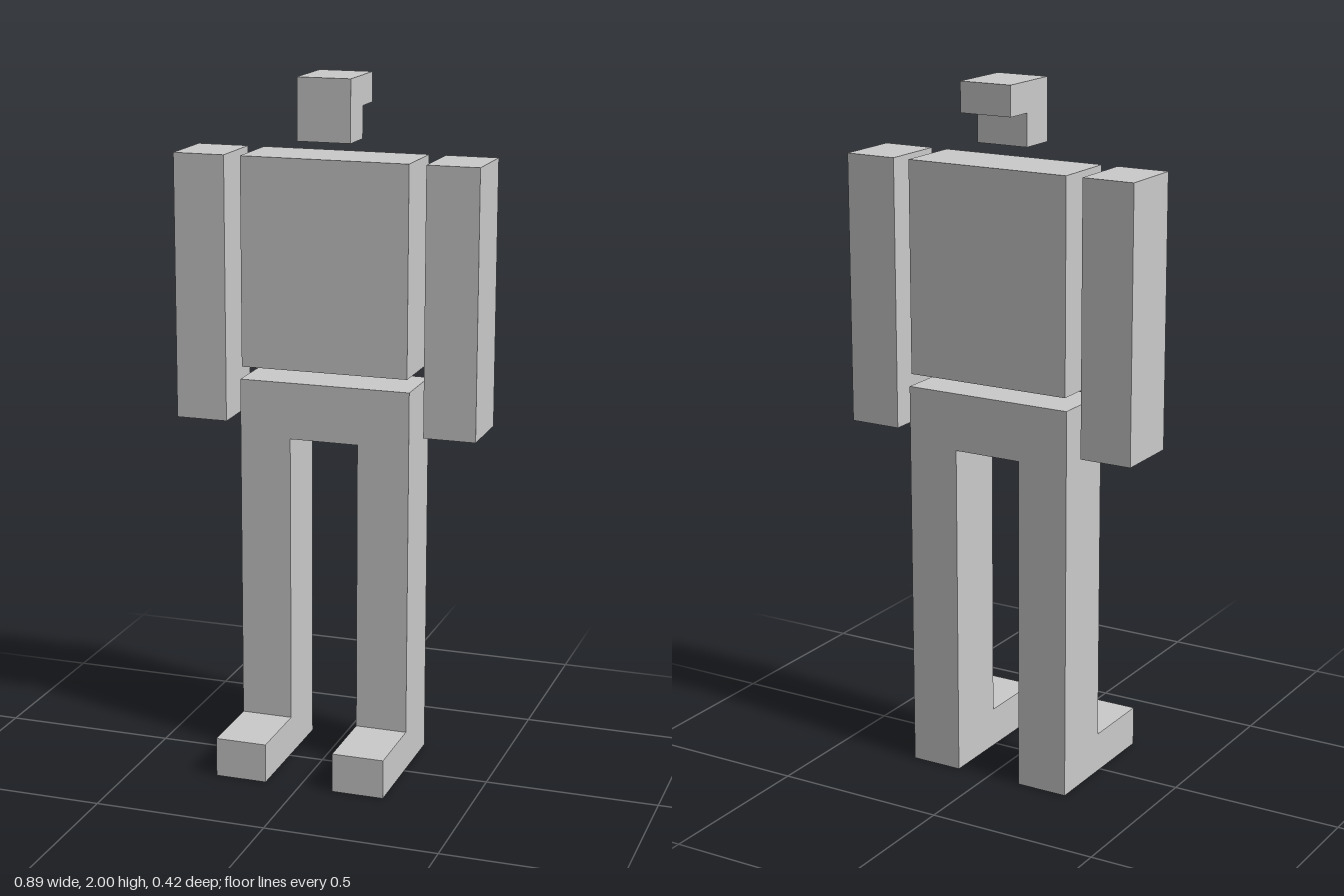
import * as THREE from 'three';

const BACK = -0.208, FRONT = -0.014, TOE = 0.207;

export function createModel() {
  const model = new THREE.Group();
  model.name = 'blockFigure';
  const material = new THREE.MeshStandardMaterial({ color: 0xcccccc, flatShading: true });

  const add = (name, geometry) => {
    const mesh = new THREE.Mesh(geometry, material);
    mesh.name = name;
    model.add(mesh);
  };

  // Box given by its extents on each axis
  const block = (name, x0, x1, y0, y1, z0 = BACK, z1 = FRONT) => {
    const geometry = new THREE.BoxGeometry(x1 - x0, y1 - y0, z1 - z0);
    geometry.translate((x0 + x1) / 2, (y0 + y1) / 2, (z0 + z1) / 2);
    add(name, geometry);
  };

  const prism = (points, depth) => new THREE.ExtrudeGeometry(
    new THREE.Shape(points.map(([x, y]) => new THREE.Vector2(x, y))),
    { depth, bevelEnabled: false });

  // Head: side profile (z, y) with a notch under the back of the skull
  const head = prism([
    [BACK, 1.915], [-0.122, 1.915], [-0.122, 1.823],
    [FRONT, 1.823], [FRONT, 2], [BACK, 2],
  ], 0.156);
  head.rotateY(-Math.PI / 2).translate(0.077, 0, 0);
  add('head', head);

  block('torso', -0.248, 0.245, 1.17, 1.775);

  // Hips and legs: one arch-shaped front outline
  const legs = prism([
    [-0.253, 0], [-0.102, 0], [-0.102, 0.968], [0.1, 0.968],
    [0.1, 0], [0.252, 0], [0.252, 1.133], [-0.253, 1.133],
  ], FRONT - BACK);
  legs.translate(0, 0, BACK);
  add('hipsAndLegs', legs);

  // Arms and feet
  block('rightArm', -0.449, -0.297, 1.005, 1.775);
  block('leftArm', 0.294, 0.446, 1.005, 1.775);
  block('rightFoot', -0.253, -0.102, 0, 0.115, FRONT, TOE);
  block('leftFoot', 0.1, 0.252, 0, 0.115, FRONT, TOE);

  return model;
}
